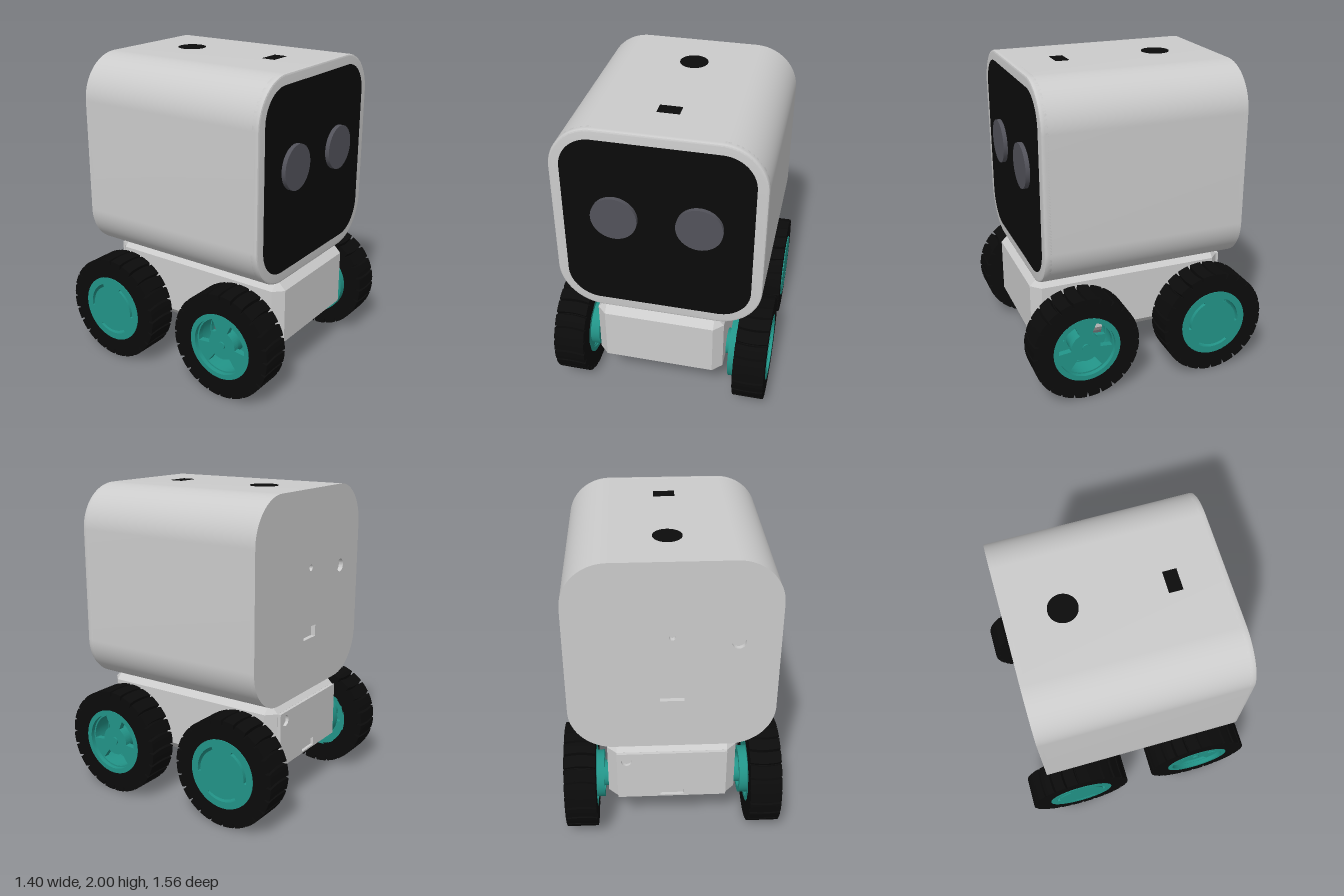
import * as THREE from 'three';
import { toCreasedNormals } from 'three/addons/utils/BufferGeometryUtils.js';
import { ConvexGeometry } from 'three/addons/geometries/ConvexGeometry.js';

const mat = (color) => new THREE.MeshStandardMaterial({ color });
const grey = mat(0xcccccc), black = mat(0x0b0b0b), teal = mat(0x229488), eyeGrey = mat(0x52525a);

function add(parent, name, geo, material, x = 0, y = 0, z = 0) {
  const m = new THREE.Mesh(geo, material);
  m.name = name;
  m.position.set(x, y, z);
  parent.add(m);
  return m;
}

function roundedRect(x0, y0, x1, y1, r) {
  const s = new THREE.Shape();
  s.absarc(x1 - r, y1 - r, r, 0, Math.PI / 2);
  s.absarc(x0 + r, y1 - r, r, Math.PI / 2, Math.PI);
  s.absarc(x0 + r, y0 + r, r, Math.PI, Math.PI * 1.5);
  s.absarc(x1 - r, y0 + r, r, Math.PI * 1.5, Math.PI * 2);
  s.closePath();
  return s;
}

const circle = (x, y, r) => new THREE.Path().absarc(x, y, r, 0, Math.PI * 2);

function slot(x, y, w, h) {
  return new THREE.Path([[-1, -1], [1, -1], [1, 1], [-1, 1]].map(
    ([a, b]) => new THREE.Vector2(x + a * w / 2, y + b * h / 2)));
}

function extrude(shape, depth, opts = {}) {
  const g = new THREE.ExtrudeGeometry(shape, { depth, bevelEnabled: false, curveSegments: 20, ...opts });
  return toCreasedNormals(g, 0.5);
}

function ring(outer, inner, depth) {
  const s = new THREE.Shape().absarc(0, 0, outer, 0, Math.PI * 2);
  s.holes.push(circle(0, 0, inner));
  return extrude(s, depth, { curveSegments: 40 });
}

// Disc with three curved openings between radii r0 and r1
function wheelFace(radius, r0, r1, depth) {
  const s = new THREE.Shape().absarc(0, 0, radius, 0, Math.PI * 2);
  for (const deg of [30, 150, 270]) {
    const a = THREE.MathUtils.degToRad(deg), h = 0.63;
    const p = new THREE.Path();
    p.absarc(0, 0, r1, a - h, a + h, false);
    p.absarc(0, 0, r0, a + h, a - h, true);
    p.closePath();
    s.holes.push(p);
  }
  return extrude(s, depth);
}

// Tyre with narrow V-shaped grooves that bow slightly across the tread
function tyreGeometry(width) {
  const pts = [], n = 24, R = 0.345;
  const put = (r, a) => pts.push(new THREE.Vector2(r * Math.cos(a), r * Math.sin(a)));
  for (let i = 0; i < n; i++) {
    const a = (i / n) * Math.PI * 2, step = Math.PI * 2 / n;
    put(R - 0.032, a - 0.008);
    put(R - 0.032, a + 0.008);
    for (let k = 0; k < 4; k++) put(R, a + 0.024 + (k / 3) * (step - 0.048));
  }
  const s = new THREE.Shape(pts);
  s.holes.push(circle(0, 0, 0.212));
  const g = new THREE.ExtrudeGeometry(s, { depth: width, steps: 6, bevelEnabled: false, curveSegments: 40 });
  const p = g.attributes.position;
  for (let i = 0; i < p.count; i++) {
    const x = p.getX(i), y = p.getY(i), t = 2 * p.getZ(i) / width - 1;
    const a = 0.03 * (1 - t * t);
    p.setXY(i, x * Math.cos(a) - y * Math.sin(a), x * Math.sin(a) + y * Math.cos(a));
  }
  return toCreasedNormals(g, 0.5);
}

// Local +z points away from the body
function makeWheel(name, spoked, flangeRadius) {
  const w = new THREE.Group(), width = 0.2;
  w.name = name;
  add(w, 'tyre', tyreGeometry(width), black);
  add(w, 'rim', ring(0.217, 0.185, width + 0.003), teal);
  add(w, 'wheelFace', spoked ? wheelFace(0.2, 0.095, 0.175, 0.04) : wheelFace(0.222, 0.158, 0.177, 0.03),
    teal, 0, 0, spoked ? 0.135 : 0.175);
  add(w, 'innerFlange', ring(flangeRadius, flangeRadius - 0.035, 0.065), teal, 0, 0, -0.05);
  add(w, 'innerFace', wheelFace(0.2, 0.095, 0.178, 0.03), teal, 0, 0, 0.01);
  const hub = new THREE.CylinderGeometry(0.085, 0.085, 0.27, 32).rotateX(Math.PI / 2);
  add(w, 'hub', hub, teal, 0, 0, 0.025);
  const cap = new THREE.CylinderGeometry(0.025, 0.025, 0.02, 20).rotateX(Math.PI / 2);
  add(w, 'axleCap', cap, teal, 0, 0, spoked ? 0.175 : 0.19);
  return w;
}

// Box with every edge and corner cut
function chamferedBox(x, y0, y1, z0, z1, c) {
  const pts = [];
  for (const sx of [-1, 1]) for (const sy of [0, 1]) for (const sz of [0, 1]) {
    const X = sx * x, Y = sy ? y1 : y0, Z = sz ? z1 : z0;
    const dx = -sx * c, dy = sy ? -c : c, dz = sz ? -c : c;
    pts.push(new THREE.Vector3(X, Y + dy, Z + dz),
      new THREE.Vector3(X + dx, Y, Z + dz),
      new THREE.Vector3(X + dx, Y + dy, Z));
  }
  return new ConvexGeometry(pts);
}

export function createModel() {
  const root = new THREE.Group();
  root.name = 'roverRobot';

  // Head
  const head = new THREE.Group();
  head.name = 'head';
  root.add(head);
  const outline = () => roundedRect(-0.64, 0.72, 0.64, 2, 0.28);
  add(head, 'headShell', extrude(outline(), 1.24), grey, 0, 0, -0.6);
  add(head, 'bezel', extrude(outline(), 0.03, {
    bevelEnabled: true, bevelThickness: 0.012, bevelSize: 0.012, bevelOffset: -0.012, bevelSegments: 2,
  }), grey, 0, 0, 0.623);
  const back = outline();
  back.holes.push(circle(0, 1.515, 0.02), circle(-0.39, 1.47, 0.042), slot(0, 1.1, 0.15, 0.075));
  add(head, 'headBackPanel', extrude(back, 0.03), grey, 0, 0, -0.63);
  add(head, 'screen', extrude(roundedRect(-0.573, 0.79, 0.573, 1.935, 0.2), 0.01), black, 0, 0, 0.658);
  for (const s of [-1, 1]) {
    const eye = new THREE.CylinderGeometry(0.141, 0.141, 0.04, 48).rotateX(Math.PI / 2);
    add(head, s > 0 ? 'leftEye' : 'rightEye', eye, eyeGrey, s * 0.256, 1.43, 0.675);
  }
  add(head, 'topButton', new THREE.CylinderGeometry(0.089, 0.089, 0.01, 40), black, 0.014, 1.998, -0.29);
  add(head, 'topSensor', new THREE.BoxGeometry(0.136, 0.01, 0.084), black, 0.008, 1.998, 0.35);

  // Chassis
  const chassis = new THREE.Group();
  chassis.name = 'chassis';
  root.add(chassis);
  add(chassis, 'chassisBody', chamferedBox(0.412, 0.247, 0.722, -0.62, 0.688, 0.06), grey);
  const plate = new THREE.Shape(slot(0, 0.484, 0.7, 0.355).getPoints());
  plate.holes.push(circle(0.29, 0.605, 0.035), slot(0, 0.345, 0.15, 0.055));
  add(chassis, 'chassisBackPanel', extrude(plate, 0.02), grey, 0, 0, -0.64);

  // Wheels: spoked at the front, slotted discs at the rear
  for (const side of [-1, 1]) for (const front of [true, false]) {
    const label = (front ? 'front' : 'rear') + (side > 0 ? 'Left' : 'Right') + 'Wheel';
    const wheel = makeWheel(label, front, side > 0 && front ? 0.225 : 0.155);
    const inner = (side > 0) === front ? 0.497 : 0.488;
    wheel.position.set(side * inner, 0.345, front ? 0.433 : -0.438);
    wheel.rotation.y = side * Math.PI / 2;
    root.add(wheel);
  }
  return root;
}
